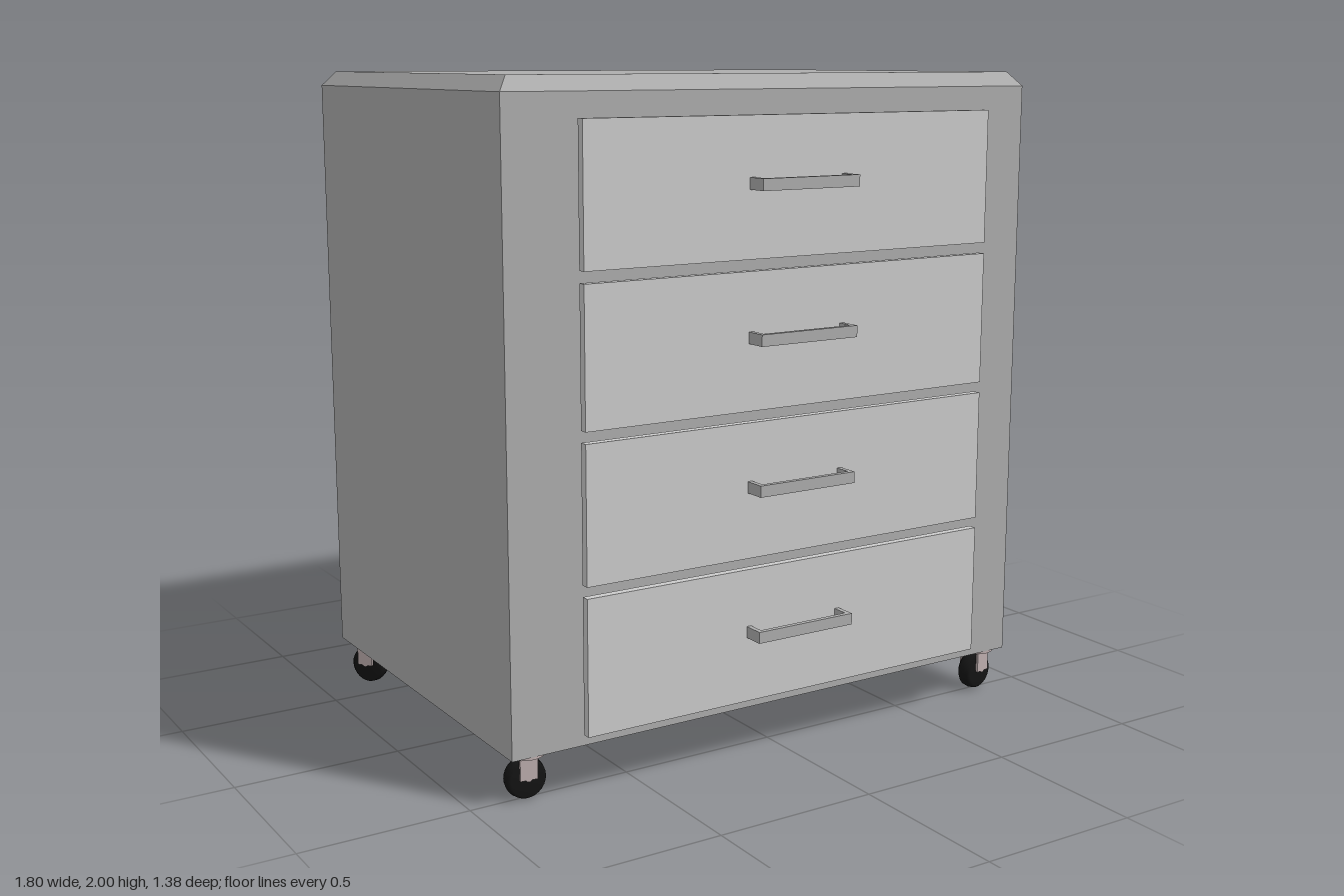
import * as THREE from 'three';

const mat = (color) => new THREE.MeshStandardMaterial({ color });
const lightGrey = mat(0xcccccc), bodyGrey = mat(0xadadad), steel = mat(0xbdaeae), rubber = mat(0x141414);

function add(parent, name, geometry, material, x = 0, y = 0, z = 0) {
  const mesh = new THREE.Mesh(geometry, material);
  mesh.name = name;
  mesh.position.set(x, y, z);
  parent.add(mesh);
  return mesh;
}

// Box given by its lower and upper limits
function block(parent, name, material, [x0, x1], [y0, y1], [z0, z1]) {
  return add(parent, name, new THREE.BoxGeometry(x1 - x0, y1 - y0, z1 - z0), material,
    (x0 + x1) / 2, (y0 + y1) / 2, (z0 + z1) / 2);
}

// Cabinet body: a box whose top edge is chamfered on all four sides
function cabinetGeometry() {
  const w = 1.796, h = 1.86, d = 1.25, inset = 0.035, rise = 0.043;
  const geo = new THREE.BoxGeometry(w, h, d, 1, 2, 1).toNonIndexed();
  const p = geo.attributes.position;
  for (let i = 0; i < p.count; i++) {
    const y = p.getY(i);
    if (Math.abs(y) < 0.01) p.setY(i, h / 2 - rise);
    if (y > h / 2 - 0.01) {
      p.setX(i, Math.sign(p.getX(i)) * (w / 2 - inset));
      p.setZ(i, Math.sign(p.getZ(i)) * (d / 2 - inset));
    }
  }
  geo.computeVertexNormals();
  return geo;
}

// U-shaped pull, extruded upwards from its plan outline
function handleGeometry() {
  const hw = 0.167, depth = 0.066, t = 0.015, height = 0.034;
  const pts = [[-hw, 0], [-hw, -depth], [hw, -depth], [hw, 0],
    [hw - t, 0], [hw - t, t - depth], [t - hw, t - depth], [t - hw, 0]];
  const shape = new THREE.Shape(pts.map(([x, y]) => new THREE.Vector2(x, y)));
  const geo = new THREE.ExtrudeGeometry(shape, { depth: height, bevelEnabled: false });
  return geo.rotateX(-Math.PI / 2).translate(0, -height / 2, 0);
}

// Drawer: open tray, overlapping front panel and pull
function drawer(y) {
  const g = new THREE.Group();
  g.name = 'drawer';
  g.position.y = y;
  const hw = 0.668, t = 0.026, low = -0.174, high = 0.17, back = -0.6, front = 0.6;
  block(g, 'drawerFront', lightGrey, [-0.693, 0.704], [-0.2, 0.2], [front, 0.625]);
  block(g, 'trayFront', lightGrey, [-hw, hw], [low, high], [front - t, front]);
  block(g, 'trayBack', lightGrey, [-hw, hw], [low, high], [back, back + t]);
  block(g, 'trayFloor', lightGrey, [t - hw, hw - t], [low, low + t], [back + t, front - t]);
  for (const s of [-1, 1]) {
    const a = s * hw, b = s * (hw - t);
    block(g, 'traySide', lightGrey, [Math.min(a, b), Math.max(a, b)], [low, high], [back + t, front - t]);
  }
  add(g, 'handle', handleGeometry(), bodyGrey, 0.003, 0.012, 0.624);
  return g;
}

// Swivel caster, its axle along local z before it is turned
function caster(x, z, turn) {
  const g = new THREE.Group();
  g.name = 'caster';
  g.position.set(x, 0, z);
  g.rotation.y = turn;
  // tyre with a slightly rounded tread
  const profile = [[0, -0.024], [0.05, -0.024], [0.058, -0.016], [0.061, 0],
    [0.058, 0.016], [0.05, 0.024], [0, 0.024]].map(([r, h]) => new THREE.Vector2(r, h));
  add(g, 'wheel', new THREE.LatheGeometry(profile, 28).rotateX(Math.PI / 2), rubber, 0, 0.061, 0);
  add(g, 'mountingPlate', new THREE.CylinderGeometry(0.058, 0.058, 0.01, 24), steel, 0, 0.136, 0);
  add(g, 'forkBridge', new THREE.BoxGeometry(0.053, 0.008, 0.072), steel, 0, 0.128, 0);
  for (const s of [-1, 1]) {
    add(g, 'forkArm', new THREE.BoxGeometry(0.053, 0.066, 0.008), steel, 0, 0.097, s * 0.032);
  }
  add(g, 'axle', new THREE.CylinderGeometry(0.01, 0.01, 0.07, 12).rotateX(Math.PI / 2), steel, 0, 0.068, 0);
  return g;
}

export function createModel() {
  const model = new THREE.Group();
  model.name = 'drawerCabinet';
  add(model, 'cabinetBody', cabinetGeometry(), bodyGrey, 0, 1.07, -0.065);
  for (let i = 0; i < 4; i++) model.add(drawer(0.389 + i * 0.433));
  // each caster has swivelled its own way
  model.add(caster(0.83, 0.5, 0.2), caster(-0.83, 0.5, -0.1));
  model.add(caster(0.83, -0.615, Math.PI / 2), caster(-0.83, -0.615, 2.18));
  return model;
}
